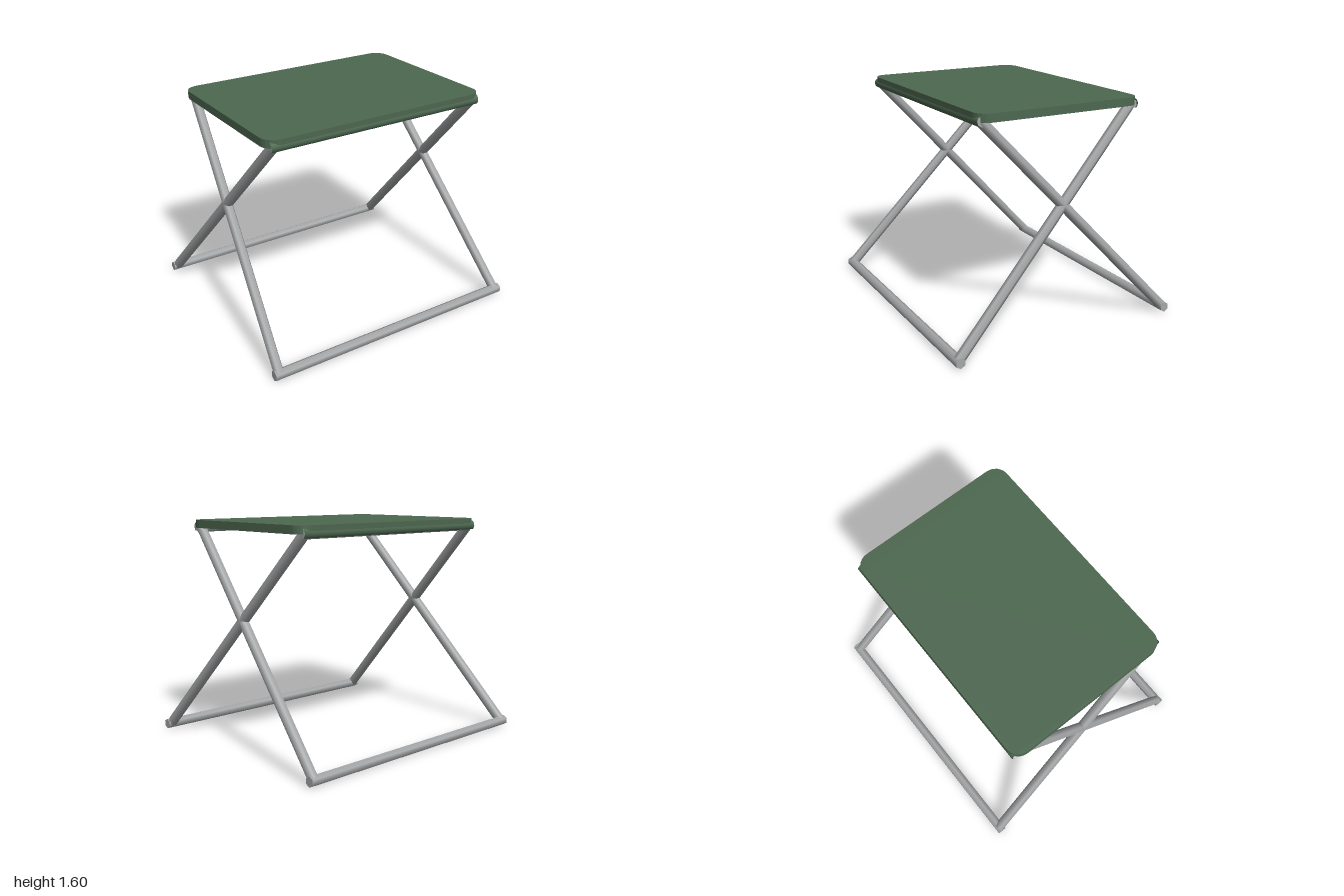
import * as THREE from 'three';

const green = new THREE.MeshStandardMaterial({ color: 0x4d6850 });
green.name = 'green canvas';
const sleeveGreen = green.clone();
sleeveGreen.name = 'green canvas sleeve';
sleeveGreen.side = THREE.DoubleSide;
const metal = new THREE.MeshStandardMaterial({ color: 0xa6a8a9 });
metal.name = 'grey metal';

const R = 0.037;
const FOOT = { x: 0.962, y: 0.037, z: 0.84 };
const TOP = { x: 0.808, y: 1.547, z: 0.585 };

// Six-sided tube between two points
function tube(name, a, b) {
  const dir = b.clone().sub(a);
  const geo = new THREE.CylinderGeometry(R, R, dir.length(), 6, 1, false, Math.PI / 6);
  const mesh = new THREE.Mesh(geo, metal);
  mesh.name = name;
  mesh.position.copy(a).add(b).multiplyScalar(0.5);
  mesh.quaternion.setFromUnitVectors(new THREE.Vector3(0, 1, 0), dir.normalize());
  return mesh;
}

// One trapezoid frame: foot on side s, top rail on the opposite side
function frame(name, s) {
  const g = new THREE.Group();
  g.name = name;
  const v = (x, y, z) => new THREE.Vector3(x, y, z);
  g.add(tube('footRail', v(-1, FOOT.y, s * FOOT.z), v(1, FOOT.y, s * FOOT.z)));
  g.add(tube('topRail', v(-0.835, TOP.y, -s * TOP.z), v(0.835, TOP.y, -s * TOP.z)));
  for (const m of [-1, 1]) {
    g.add(tube(m > 0 ? 'leftLeg' : 'rightLeg',
      v(m * FOOT.x, FOOT.y, s * FOOT.z), v(m * TOP.x, TOP.y, -s * TOP.z)));
  }
  return g;
}

// Seat slab with rounded corners
function seat() {
  const w = 0.873, d = 0.622, r = 0.1;
  const shape = new THREE.Shape();
  shape.absarc(w - r, d - r, r, 0, Math.PI / 2);
  shape.absarc(-w + r, d - r, r, Math.PI / 2, Math.PI);
  shape.absarc(-w + r, -d + r, r, Math.PI, Math.PI * 1.5);
  shape.absarc(w - r, -d + r, r, Math.PI * 1.5, Math.PI * 2);
  const geo = new THREE.ExtrudeGeometry(shape, { depth: 0.057, bevelEnabled: false, curveSegments: 3 });
  geo.rotateX(-Math.PI / 2);
  const mesh = new THREE.Mesh(geo, green);
  mesh.name = 'seat';
  mesh.position.y = 1.543;
  return mesh;
}

// Fabric wrapped around the outer side of a top rail
function sleeve(s) {
  const geo = new THREE.CylinderGeometry(0.04, 0.04, 1.68, 6, 1, true, -Math.PI / 4, Math.PI * 0.75);
  geo.rotateZ(Math.PI / 2);
  const mesh = new THREE.Mesh(geo, sleeveGreen);
  mesh.name = s > 0 ? 'frontSleeve' : 'backSleeve';
  mesh.position.set(0, TOP.y, s * TOP.z);
  if (s < 0) mesh.rotation.y = Math.PI;
  return mesh;
}

export function createModel() {
  const model = new THREE.Group();
  model.name = 'foldingStool';
  model.add(frame('frontFootFrame', 1), frame('backFootFrame', -1));
  model.add(seat(), sleeve(1), sleeve(-1));
  return model;
}
